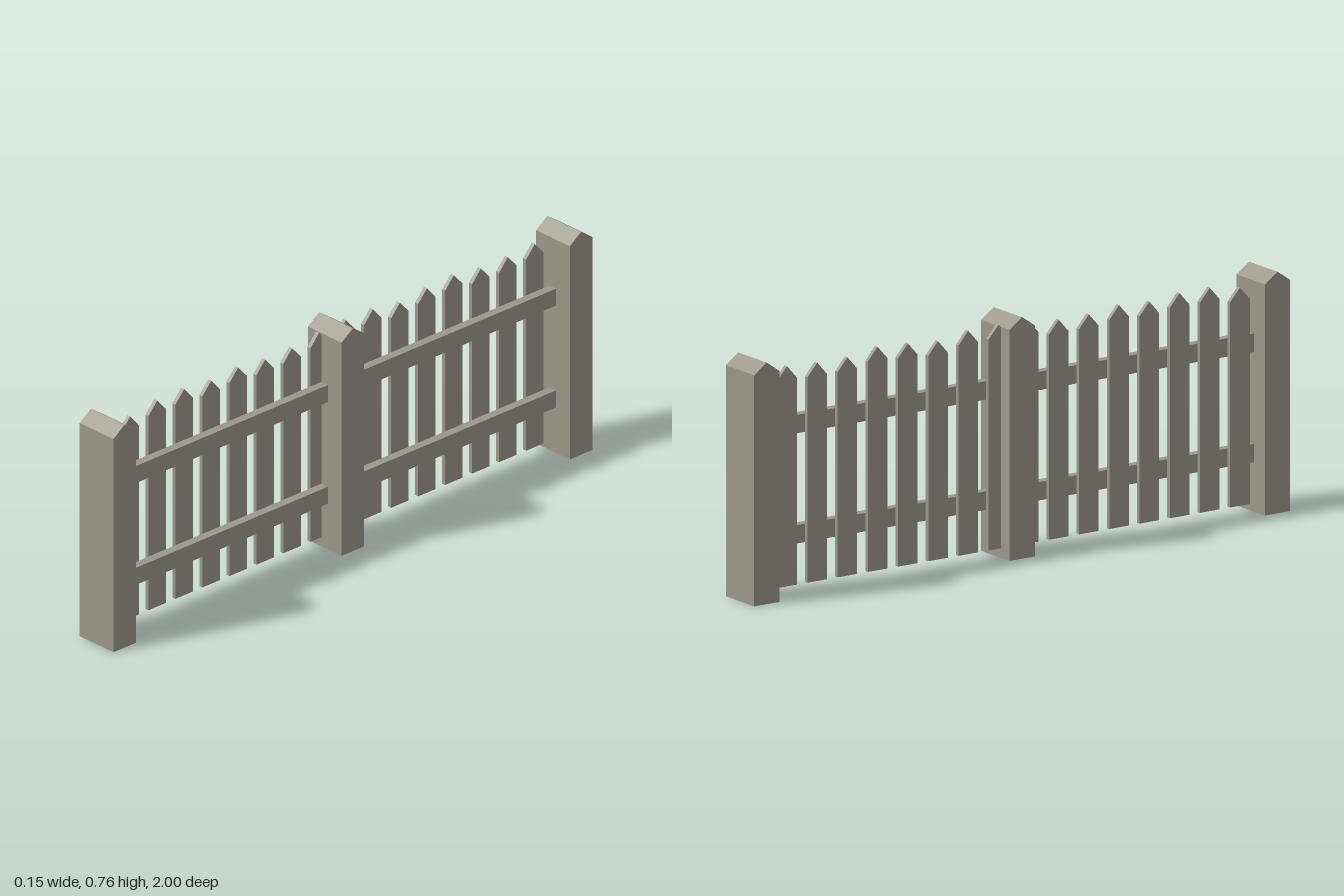
import * as THREE from 'three';

const wood = new THREE.MeshStandardMaterial({ color: 0x9b988a });
wood.name = 'weatheredWood';
wood.side = THREE.DoubleSide;

// Board with a pointed top: width runs along z, thickness along x from x0 to x1
function pointedBoard(width, bottom, shoulder, tip, x0, x1) {
  const w = width / 2;
  const shape = new THREE.Shape([
    new THREE.Vector2(-w, bottom),
    new THREE.Vector2(w, bottom),
    new THREE.Vector2(w, shoulder),
    new THREE.Vector2(0, tip),
    new THREE.Vector2(-w, shoulder),
  ]);
  const geo = new THREE.ExtrudeGeometry(shape, { depth: x1 - x0, bevelEnabled: false });
  return geo.rotateY(Math.PI / 2).translate(x0, 0, 0);
}

// Leaves out the triangles that face straight down, so a post is hollow below
function openBottom(geo) {
  const pos = geo.attributes.position.array;
  const normal = geo.attributes.normal.array;
  const p = [], n = [];
  for (let i = 0; i < pos.length; i += 9) {
    if (normal[i + 1] < -0.9) continue;
    p.push(...pos.slice(i, i + 9));
    n.push(...normal.slice(i, i + 9));
  }
  const out = new THREE.BufferGeometry();
  out.setAttribute('position', new THREE.Float32BufferAttribute(p, 3));
  out.setAttribute('normal', new THREE.Float32BufferAttribute(n, 3));
  return out;
}

export function createModel() {
  const fence = new THREE.Group();
  fence.name = 'picketFence';

  const add = (name, geo, x, y, z) => {
    const mesh = new THREE.Mesh(geo, wood);
    mesh.name = name;
    mesh.position.set(x, y, z);
    fence.add(mesh);
  };

  // Three thick posts with ridged tops
  const postGeo = openBottom(pointedBoard(0.094, 0, 0.727, 0.76, -0.075, 0.075));
  for (const z of [-0.953, 0, 0.953]) add('post', postGeo, 0, 0, z);

  // Two rails in each bay
  const railGeo = new THREE.BoxGeometry(0.029, 0.058, 0.862);
  for (const z of [-0.476, 0.476]) {
    add('lowerRail', railGeo, -0.001, 0.184, z);
    add('upperRail', railGeo, -0.001, 0.531, z);
  }

  // Pickets of slightly uneven height behind the rails, outer end to centre post
  const tips = {
    1: [0.717, 0.733, 0.733, 0.723, 0.729, 0.717, 0.717, 0.731],
    '-1': [0.723, 0.717, 0.717, 0.733, 0.727, 0.717, 0.733, 0.735],
  };
  for (const side of [1, -1]) {
    tips[side].forEach((tip, i) => {
      const geo = pointedBoard(0.073, 0.03, tip - 0.041, tip, -0.029, -0.0155);
      add('picket', geo, 0, 0, side * (0.845 - i * 0.1127));
    });
  }
  return fence;
}
